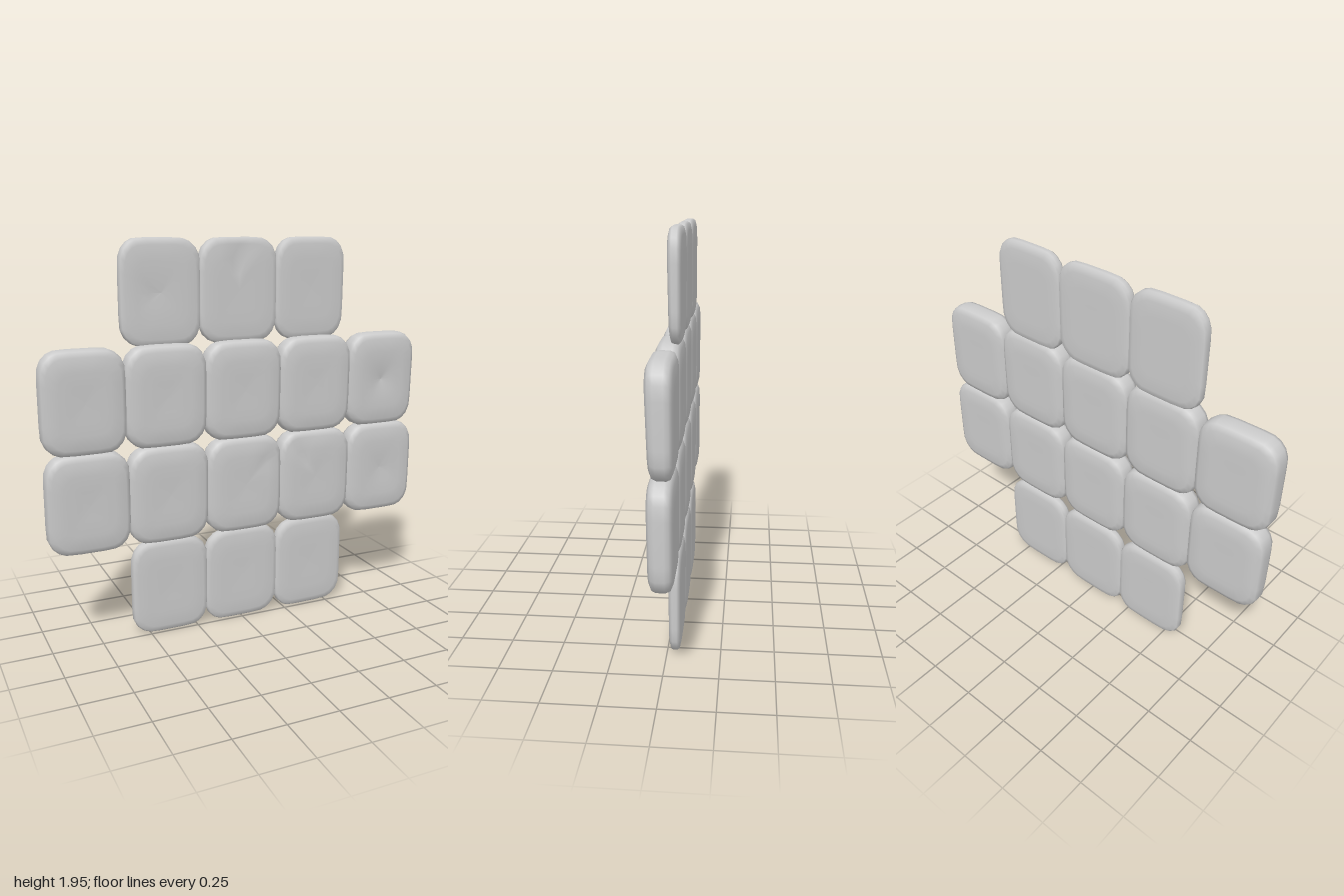
import * as THREE from 'three';

// One quarter of a stone's outline, as fractions of its half width and half height
const QUARTER = [[1, 0], [1, 0.4], [0.985, 0.66], [0.9, 0.82], [0.76, 0.93], [0.6, 0.985], [0.3, 1]];

// Stone cross-section from back centre to front centre: [outline scale, depth fraction]
const PROFILE = [[0, 0.02], [0.3, 0.02], [0.6, 0.01], [0.86, 0.03], [0.97, 0.14], [1, 0.32],
  [1, 0.68], [0.97, 0.86], [0.87, 0.97], [0.6, 1], [0.3, 0.98], [0, 0.97]];

// Rows of stones: vertical extent, column edges, front depth at bottom and top
const ROWS = [
  { name: 'bottomRow', y: [0.01, 0.495], x: [-0.585, -0.195, 0.2, 0.595], front: [-0.005, 0.005] },
  { name: 'lowerMiddleRow', y: [0.5, 0.985], x: [-0.995, -0.6, -0.2, 0.2, 0.6, 0.995], front: [0.045, 0.056] },
  { name: 'upperMiddleRow', y: [0.98, 1.468], x: [-1, -0.605, -0.205, 0.195, 0.595, 0.985], front: [0.046, 0.06] },
  { name: 'topRow', y: [1.458, 1.955], x: [-0.605, -0.215, 0.19, 0.57], front: [-0.004, 0.002] },
];

// Chipped hollows in the front faces: x, y, radius, depth
const DENTS = [[0.79, 1.22, 0.08, 0.015], [-0.02, 1.87, 0.06, 0.015], [0.3, 0.9, 0.06, 0.015],
  [0.13, 0.86, 0.07, 0.01], [0.82, 0.72, 0.09, 0.008], [-0.45, 1.7, 0.08, 0.008]];

function seeded(seed) {
  return () => {
    seed = (seed * 16807) % 2147483647;
    return (seed / 2147483647) * 2 - 1;
  };
}

// Full outline, counter-clockwise seen from the front
function stoneOutline() {
  const mirrored = QUARTER.slice(1).reverse().map(([x, y]) => [-x, y]);
  const half = [...QUARTER, [0, 1], ...mirrored];
  return [...half, ...half.map(([x, y]) => [-x, -y])];
}

function stoneGeometry(x0, x1, row, random) {
  const outline = stoneOutline();
  const n = outline.length;
  const [y0, y1] = row.y;
  const cx = (x0 + x1) / 2, cy = (y0 + y1) / 2;
  const hw = (x1 - x0) / 2 + 0.003, hh = (y1 - y0) / 2 + 0.002;
  const skew = random() * 0.015, tiltX = random() * 0.004, tiltY = random() * 0.003;
  const positions = [], indices = [];

  PROFILE.forEach(([scale, depth], i) => {
    outline.forEach(([u, v], j) => {
      const a = u * scale, b = v * scale;
      const x = cx + hw * a + skew * b * (1 - a * a);
      const y = cy + hh * b;
      const back = -0.062 - 0.006 * x;
      let front = THREE.MathUtils.lerp(row.front[0], row.front[1], (b + 1) / 2) - 0.01 * x;
      front += tiltX * a + tiltY * b;
      for (const [dx, dy, radius, deep] of DENTS) {
        const d = ((x - dx) ** 2 + (y - dy) ** 2) / radius ** 2;
        front -= deep * Math.exp(-2 * d);
      }
      positions.push(x, y, THREE.MathUtils.lerp(back, front, depth));
      if (i < PROFILE.length - 1) {
        const k = (j + 1) % n, p = i * n, q = p + n;
        if (i > 0) indices.push(p + j, p + k, q + k);
        else indices.push(p + j, q + k, q + j);
        if (i > 0 && i < PROFILE.length - 2) indices.push(p + j, q + k, q + j);
      }
    });
  });

  const geometry = new THREE.BufferGeometry();
  geometry.setAttribute('position', new THREE.Float32BufferAttribute(positions, 3));
  geometry.setIndex(indices);
  geometry.computeVertexNormals();
  return geometry;
}

export function createModel() {
  const model = new THREE.Group();
  model.name = 'stoneSlab';
  const material = new THREE.MeshStandardMaterial({ color: 0xcccccc });
  const random = seeded(4711);

  // Rows of worn paving stones, joined edge to edge
  for (const row of ROWS) {
    const group = new THREE.Group();
    group.name = row.name;
    for (let c = 0; c < row.x.length - 1; c++) {
      const stone = new THREE.Mesh(stoneGeometry(row.x[c], row.x[c + 1], row, random), material);
      stone.name = `stone${c + 1}`;
      group.add(stone);
    }
    model.add(group);
  }

  // Rest the slab on the ground
  const box = new THREE.Box3().setFromObject(model);
  model.children.forEach((group) => { group.position.y -= box.min.y; });
  return model;
}
